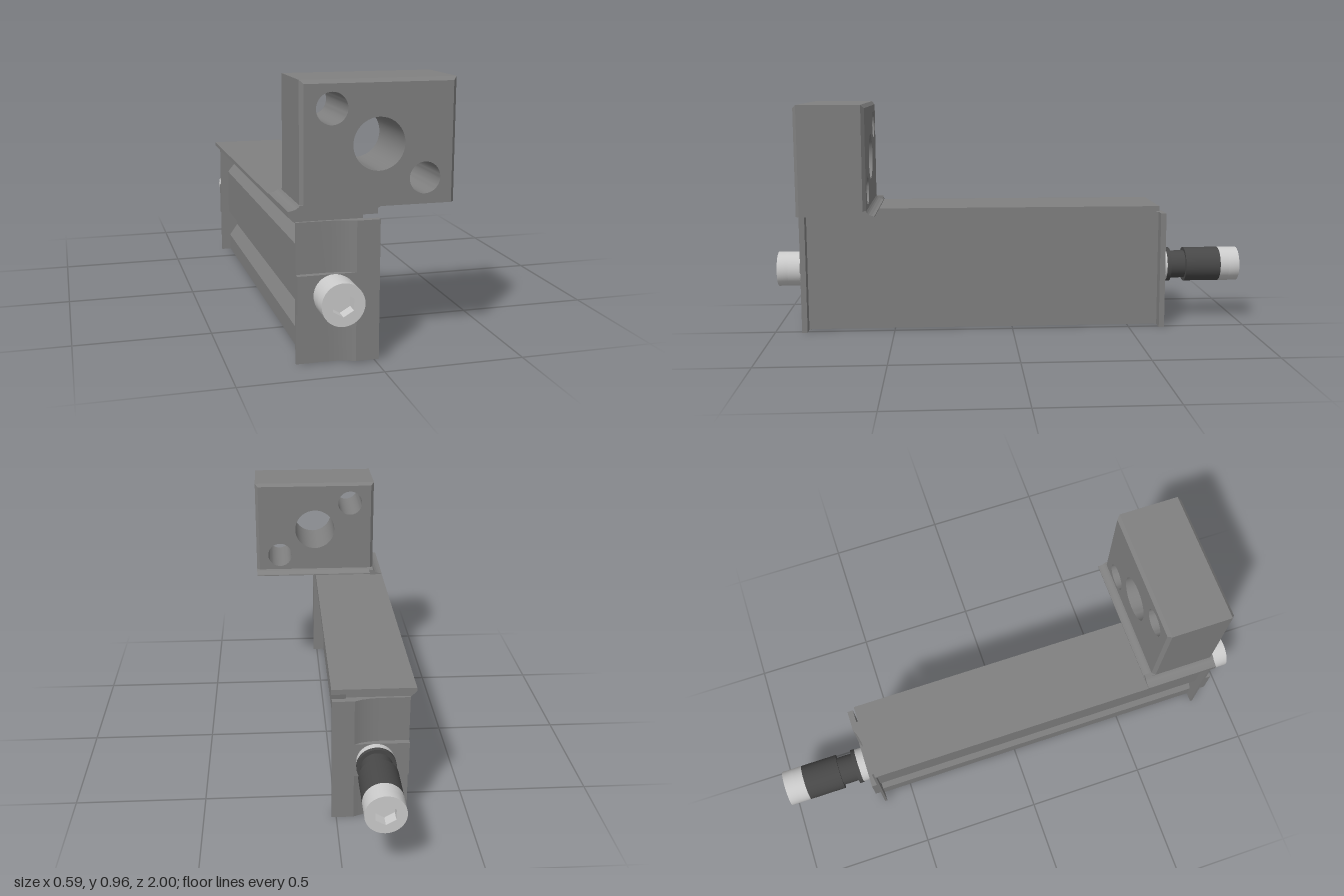
import * as THREE from 'three';
import { toCreasedNormals } from 'three/addons/utils/BufferGeometryUtils.js';

const steel = new THREE.MeshStandardMaterial({ color: 0x808080 });
const black = new THREE.MeshStandardMaterial({ color: 0x484848 });
const bright = new THREE.MeshStandardMaterial({ color: 0xcccccc });

const BODY_BACK = -0.62, BODY_FRONT = 0.855;
const BLOCK_BACK = 0.585, BLOCK_LEFT = -0.253, BLOCK_RIGHT = 0.293, BLOCK_TOP = 0.96;
const BOLT_X = -0.144, BOLT_Y = 0.244;

const polygon = (pts) => new THREE.Shape(pts.map(([x, y]) => new THREE.Vector2(x, y)));

function extrude(shape, depth, steps = 1) {
  return new THREE.ExtrudeGeometry(shape, { depth, steps, bevelEnabled: false, curveSegments: 20 });
}

function add(parent, name, geometry, material = steel) {
  const mesh = new THREE.Mesh(geometry, material);
  mesh.name = name;
  parent.add(mesh);
  return mesh;
}

// Long rail: the cover overhangs a set-back flat side and a ribbed side
function makeBody() {
  const profile = polygon([
    [-0.035, 0.002], [-0.035, 0.505], [0.018, 0.505], [0.018, 0.525],
    [-0.294, 0.525], [-0.294, 0.511], [-0.273, 0.491], [-0.195, 0.491], [-0.195, 0.43],
    [-0.235, 0.38], [-0.235, 0.19], [-0.195, 0.16], [-0.195, 0.12], [-0.23, 0.07], [-0.23, 0.002],
  ]);
  return extrude(profile, BODY_FRONT - BODY_BACK).translate(0, 0, BODY_BACK);
}

// Drilled block; the two end outlines are pulled in to form chamfers
function makeBlock() {
  const shape = polygon([
    [BLOCK_LEFT, 0.525], [0.018, 0.525], [0.028, 0.53], [BLOCK_RIGHT, 0.53],
    [BLOCK_RIGHT, BLOCK_TOP], [BLOCK_LEFT, BLOCK_TOP],
  ]);
  for (const [x, y, r] of [[0.02, 0.742, 0.091], [-0.144, 0.865, 0.055], [0.184, 0.62, 0.055]]) {
    shape.holes.push(new THREE.Path().absarc(x, y, r, 0, Math.PI * 2, true));
  }
  const depth = BODY_FRONT - BLOCK_BACK, c = 0.013;
  const geo = extrude(shape, depth, 3);
  const p = geo.attributes.position;
  for (let i = 0; i < p.count; i++) {
    const level = Math.round(p.getZ(i) / depth * 3);
    if (level === 0 || level === 3) {
      p.setX(i, THREE.MathUtils.clamp(p.getX(i), BLOCK_LEFT + c, BLOCK_RIGHT - c));
      p.setY(i, Math.min(p.getY(i), BLOCK_TOP - c));
    }
    p.setZ(i, [0, c, depth - c, depth][level]);
  }
  return toCreasedNormals(geo, 0.5).translate(0, 0, BLOCK_BACK);
}

// Concave flare at the foot of the block; starts inside it and reaches out by "reach"
function makeFlare(reach, length) {
  const dir = Math.sign(reach);
  const s = new THREE.Shape();
  s.moveTo(-dir * 0.015, 0.525);
  s.lineTo(reach, 0.525);
  s.lineTo(reach, 0.529);
  s.quadraticCurveTo(reach * 0.3, 0.531, 0, 0.547);
  s.lineTo(-dir * 0.015, 0.547);
  return toCreasedNormals(extrude(s, length), 0.5);
}

// End plate with a concave pocket, and a band carrying the bolt
function makeEndPlate(name, z0, dir) {
  const group = new THREE.Group();
  group.name = name;
  const t = 0.032;
  const profile = [[-0.27, 0], [-0.27, 0.01], [-0.16, 0.01], [-0.125, 0.013], [-0.093, 0.02], [-0.065, t],
    [0.017, t], [0.017, 0.009], [-0.035, 0.009], [-0.035, 0]];
  const plate = extrude(polygon(profile.map(([x, d]) => [x, -(z0 + dir * d)])), 0.493);
  add(group, 'plate', toCreasedNormals(plate.rotateX(-Math.PI / 2), 0.3));
  const band = add(group, 'boltBand', new THREE.BoxGeometry(0.205, 0.135, t));
  band.position.set(-0.1675, 0.2475, z0 + dir * t / 2);
  return group;
}

// Round section of a bolt between two distances along its axis
function section(parent, name, radius, from, to, material) {
  const geo = new THREE.CylinderGeometry(radius, radius, to - from, 40).rotateX(Math.PI / 2);
  add(parent, name, geo, material).position.z = (from + to) / 2;
}

// Bolt head with a hexagonal socket, ending at distance "to"
function socketHead(parent, radius, from, to) {
  const floor = to - 0.045;
  const shape = new THREE.Shape().absarc(0, 0, radius, 0, Math.PI * 2);
  const hex = [];
  for (let i = 0; i < 6; i++) {
    const a = Math.PI / 2 - i * Math.PI / 3;
    hex.push(new THREE.Vector2(0.041 * Math.cos(a), 0.041 * Math.sin(a)));
  }
  shape.holes.push(new THREE.Path(hex));
  section(parent, 'headBase', radius, from, floor, bright);
  add(parent, 'socketHead', toCreasedNormals(extrude(shape, to - floor), 0.5), bright).position.z = floor;
}

export function createModel() {
  const model = new THREE.Group();
  model.name = 'clampRail';

  add(model, 'railBody', makeBody());
  add(model, 'drilledBlock', makeBlock());

  // Flares along the ribbed side and the back of the block
  add(model, 'sideFlare', makeFlare(-0.041, BODY_FRONT - 0.555)).position.set(BLOCK_LEFT, 0, 0.555);
  const rearFlare = makeFlare(0.032, BLOCK_RIGHT - BLOCK_LEFT).rotateY(Math.PI / 2);
  add(model, 'rearFlare', rearFlare).position.set(BLOCK_LEFT, 0.003, BLOCK_BACK);

  model.add(makeEndPlate('frontEndPlate', BODY_FRONT, 1));
  model.add(makeEndPlate('rearEndPlate', BODY_BACK, -1));

  // Short front bolt
  const frontBolt = new THREE.Group();
  frontBolt.name = 'frontBolt';
  frontBolt.position.set(BOLT_X, BOLT_Y, 0);
  section(frontBolt, 'collar', 0.071, 0.87, 0.905, bright);
  socketHead(frontBolt, 0.074, 0.905, 1);
  model.add(frontBolt);

  // Long rear bolt with a dark necked sleeve
  const rearBolt = new THREE.Group();
  rearBolt.name = 'rearBolt';
  rearBolt.position.set(BOLT_X, BOLT_Y, 0);
  rearBolt.rotation.y = Math.PI;
  section(rearBolt, 'collar', 0.071, 0.635, 0.683, bright);
  section(rearBolt, 'sleeveRing', 0.074, 0.683, 0.7, black);
  section(rearBolt, 'sleeveNeck', 0.06, 0.7, 0.765, black);
  section(rearBolt, 'sleeve', 0.074, 0.765, 0.917, black);
  socketHead(rearBolt, 0.074, 0.917, 1);
  model.add(rearBolt);

  return model;
}
